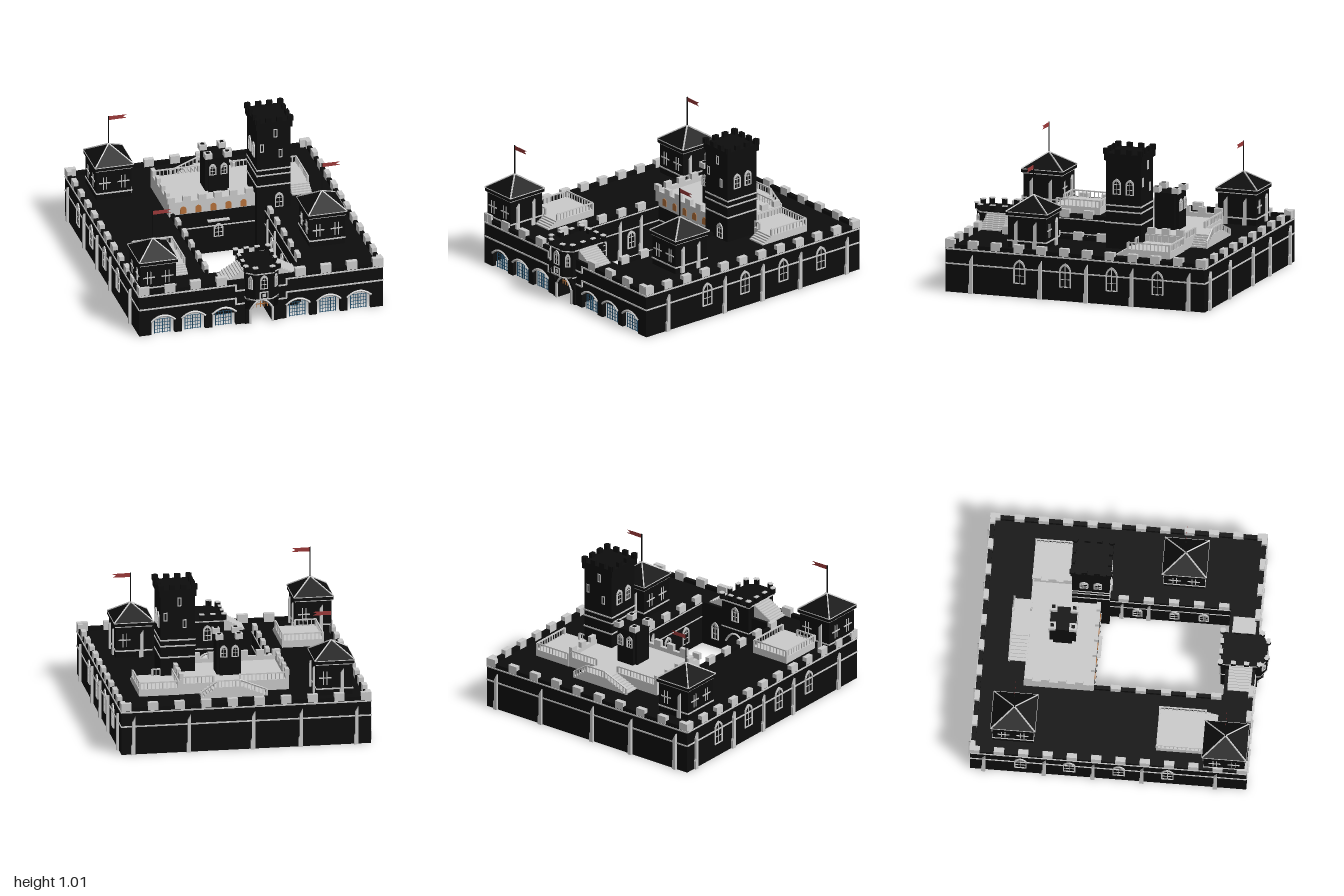
import * as THREE from 'three';

const V = (x, y, z) => new THREE.Vector3(x, y, z);
const mat = (color) => new THREE.MeshStandardMaterial({ color, flatShading: true, side: THREE.DoubleSide });

export function createModel() {
  const root = new THREE.Group();
  const black = mat(0x0d0d0d), grey = mat(0xcccccc), blue = mat(0x24506e), orange = mat(0xb5713a), red = mat(0x9e3a3a);

  // ---- helpers ----
  const add = (name, geo, m, parent = root) => {
    const mesh = new THREE.Mesh(geo, m);
    mesh.name = name;
    parent.add(mesh);
    return mesh;
  };
  const group = (name, x = 0, y = 0, z = 0, ry = 0) => {
    const g = new THREE.Group();
    g.name = name;
    g.position.set(x, y, z);
    g.rotation.y = ry;
    root.add(g);
    return g;
  };
  const box = (name, x0, x1, y0, y1, z0, z1, m, parent = root) => {
    const b = add(name, new THREE.BoxGeometry(x1 - x0, y1 - y0, z1 - z0), m, parent);
    b.position.set((x0 + x1) / 2, (y0 + y1) / 2, (z0 + z1) / 2);
    return b;
  };
  const bar = (name, a, b, t, m, parent = root) => {
    const s = add(name, new THREE.BoxGeometry(t, t, a.distanceTo(b)), m, parent);
    s.position.copy(a).lerp(b, 0.5);
    s.quaternion.setFromUnitVectors(V(0, 0, 1), b.clone().sub(a).normalize());
    return s;
  };
  const extrude = (shape, depth, z) =>
    new THREE.ExtrudeGeometry(shape, { depth, bevelEnabled: false, curveSegments: 8 }).translate(0, 0, z);
  const extrudeUp = (pts, y0, y1) =>
    extrude(new THREE.Shape(pts.map(([x, z]) => new THREE.Vector2(x, -z))), y1 - y0, 0).rotateX(-Math.PI / 2).translate(0, y0, 0);
  // wall whose lower edge is cut by arches [x, width, spring, crown]
  const archedWall = (x0, x1, h, arches) => {
    const s = new THREE.Shape().moveTo(x0, 0);
    for (const [x, w, spring, crown] of arches)
      s.lineTo(x - w / 2, 0).lineTo(x - w / 2, spring)
        .quadraticCurveTo(x, 2 * crown - spring, x + w / 2, spring).lineTo(x + w / 2, 0);
    return s.lineTo(x1, 0).lineTo(x1, h).lineTo(x0, h);
  };
  const archOutline = (w, h, Type) => new Type().moveTo(-w / 2, 0).lineTo(w / 2, 0).lineTo(w / 2, h * 0.65)
    .quadraticCurveTo(w / 2, h * 0.88, 0, h).quadraticCurveTo(-w / 2, h * 0.88, -w / 2, h * 0.65).lineTo(-w / 2, 0);
  const archWindow = (w, h, x, y, z, ry = 0, m = grey) => {
    const g = group('archedWindow', x, y, z, ry), t = 0.008;
    const s = archOutline(w, h, THREE.Shape);
    s.holes.push(archOutline(w - 2 * t, h - 2 * t, THREE.Path).translate?.(0, t) ?? archOutline(w - 2 * t, h - 2 * t, THREE.Path));
    s.holes[0].curves[0].v1.y += 0.001;
    add('windowFrame', extrude(s, 0.008, 0), m, g);
    bar('mullion', V(0, 0, 0.004), V(0, h, 0.004), 0.004, m, g);
    for (const f of [0.03, 0.33, 0.63]) bar('glazingBar', V(-w / 2, h * f, 0.004), V(w / 2, h * f, 0.004), 0.004, m, g);
  };
  const merlons = (x0, z0, x1, z1, n, y0, y1, w, d, m = grey) => {
    const g = group('merlons'), ry = -Math.atan2(z1 - z0, x1 - x0);
    for (let i = 0; i < n; i++) {
      const t = n > 1 ? i / (n - 1) : 0.5;
      const b = add('merlon', new THREE.BoxGeometry(w, y1 - y0, d), m, g);
      b.position.set(x0 + (x1 - x0) * t, (y0 + y1) / 2, z0 + (z1 - z0) * t);
      b.rotation.y = ry;
    }
  };
  const balustrade = (a, b, h = 0.045) => {
    const g = group('balustrade'), up = V(0, h, 0), n = Math.max(2, Math.round(a.distanceTo(b) / 0.028));
    bar('handrail', a.clone().add(up), b.clone().add(up), 0.009, grey, g);
    for (let i = 0; i <= n; i++) {
      const p = a.clone().lerp(b, i / n);
      bar('baluster', p, p.clone().add(up), i % n ? 0.006 : 0.014, grey, g);
    }
  };
  // steps rise from (from) to (to) along one axis, spanning lo..hi on the other
  const stairs = (axis, from, to, lo, hi, y0, y1, n = 8) => {
    const g = group('stairs');
    for (let i = 0; i < n; i++) {
      const p = from + (to - from) * i / n, q = from + (to - from) * (i + 1) / n;
      const a = Math.min(p, q), b = Math.max(p, q), y = y0 + (y1 - y0) * (i + 1) / n;
      if (axis === 'x') box('step', a, b, y0 - 0.01, y, lo, hi, grey, g);
      else box('step', lo, hi, y0 - 0.01, y, a, b, grey, g);
    }
  };
  const buttress = (x, y, z, ry, h = 0.27, w = 0.035) => {
    const g = group('buttress', x, y, z, ry);
    const s = new THREE.Shape([[0, 0], [0.03, 0], [0.03, h * 0.22], [0.022, h * 0.28], [0.022, h * 0.85], [0, h]].map((p) => new THREE.Vector2(...p)));
    add('buttressPier', extrude(s, w, -w / 2).rotateY(-Math.PI / 2), grey, g);
  };

  // ---- outer walls ----
  const X = 0.865, ZB = -0.975, ZF = 0.92, IN = 0.315, IB = -0.17, IF = 0.715, H = 0.335, ROOF = 0.31;
  const archXs = [-0.695, -0.48, -0.262, 0.262, 0.48, 0.695], gate = [0, 0.15, 0.1, 0.165];
  const openings = [...archXs.slice(0, 3).map((x) => [x, 0.165, 0.1, 0.135]), gate, ...archXs.slice(3).map((x) => [x, 0.165, 0.1, 0.135])];
  add('frontWall', extrude(archedWall(-X, X, H, openings), 0.03, ZF - 0.03), black);
  box('backWall', -X, X, 0, H, ZB, ZB + 0.03, black);
  for (const s of [-1, 1]) {
    box('sideWall', s * X - 0.015 - s * 0.015, s * X + 0.015 - s * 0.015, 0, H, ZB, ZF, black);
    box('courtyardSideWall', s * (IN + 0.013) - 0.013, s * (IN + 0.013) + 0.013, 0, H, IB, IF, black);
    for (const y of [0.2, 0.302]) {
      box('sideStringCourse', s * X - 0.005, s * X + 0.005, y - 0.005, y + 0.005, ZB, ZF, grey);
      box('courtyardStringCourse', s * IN - 0.004, s * IN + 0.004, y - 0.004, y + 0.004, IB, IF, grey);
      box('frontStringCourse', s > 0 ? 0.18 : -X, s > 0 ? X : -0.18, y - 0.005, y + 0.005, ZF - 0.005, ZF + 0.006, grey);
      box('stringCourseDrop', s * 0.18 - 0.006, s * 0.18 + 0.006, y - 0.045, y + 0.005, ZF - 0.005, ZF + 0.006, grey);
      box('gateStringCourse', s * 0.148 - 0.035, s * 0.148 + 0.035, y - 0.05, y - 0.04, ZF - 0.005, ZF + 0.006, grey);
    }
    for (const z of [0.72, 0.215, -0.12, -0.455, -0.87]) buttress(s * X, 0, z, s > 0 ? 0 : Math.PI);
    for (const z of [0.38, 0.045, -0.295, -0.63]) archWindow(0.085, 0.17, s * X, 0.095, z, s * Math.PI / 2);
    for (const z of [-0.02, 0.165]) buttress(s * IN, 0, z, s > 0 ? Math.PI : 0, 0.28, 0.025);
    for (const z of [0.075, 0.33, 0.53]) archWindow(0.07, 0.13, s * IN, 0.06, z, -s * Math.PI / 2);
    merlons(s * (X - 0.015), ZB + 0.03, s * (X - 0.015), ZF - 0.03, 12, ROOF, 0.365, 0.07, 0.035);
    merlons(s * (IN + 0.013), -0.02, s * (IN + 0.013), 0.67, 5, ROOF, 0.365, 0.07, 0.03);
    merlons(s * 0.83, ZF - 0.015, s * 0.28, ZF - 0.015, 4, ROOF, 0.37, 0.075, 0.035);
  }
  for (const y of [0.2, 0.302]) box('backStringCourse', -X, X, y - 0.005, y + 0.005, ZB - 0.005, ZB, grey);
  for (const x of [-0.775, -0.39, -0.06, 0.385, 0.77]) buttress(x, 0, ZB, Math.PI / 2, 0.27);
  merlons(-0.83, ZB + 0.015, 0.83, ZB + 0.015, 10, ROOF, 0.365, 0.07, 0.035);
  box('courtyardBackWall', -IN, IN, 0, 0.32, IB - 0.026, IB, black);
  box('courtyardBackStringCourse', -IN, IN, 0.2, 0.208, IB, IB + 0.005, grey);
  add('courtyardFrontWall', extrude(archedWall(-IN, IN, ROOF, [gate]), 0.026, IF), black);
  for (const x of [-0.2, 0.2]) archWindow(0.06, 0.13, x, 0.06, IF, Math.PI);

  // flat roof, left open over the courtyard and beneath the decks
  const roof = new THREE.Shape([[-0.86, -0.91], [0.86, -0.91], [0.86, 0.97], [-0.86, 0.97]].map((p) => new THREE.Vector2(...p)));
  const hole = (pts) => roof.holes.push(new THREE.Path(pts.map(([x, z]) => new THREE.Vector2(x, -z))));
  hole([[-0.34, -0.64], [0.4, -0.64], [0.4, -0.18], [0.32, -0.18], [0.32, 0.72], [-0.32, 0.72], [-0.32, -0.18], [-0.34, -0.18]]);
  hole([[0.42, -0.65], [0.68, -0.65], [0.68, -0.35], [0.42, -0.35]]);
  add('flatRoof', extrude(roof, 0.012, 0).rotateX(-Math.PI / 2).translate(0, ROOF - 0.012, 0), black);

  // front arch trims and window grilles
  const archTrim = (x, w, spring, crown, z, t) => {
    const c = new THREE.QuadraticBezierCurve3(V(x - w / 2, spring, z), V(x, 2 * crown - spring, z), V(x + w / 2, spring, z));
    add('archTrim', new THREE.TubeGeometry(c, 12, t, 4), grey);
  };
  for (const x of archXs) {
    archTrim(x, 0.17, 0.1, 0.14, ZF + 0.003, 0.008);
    const g = group('windowGrille', x, 0, ZF - 0.02);
    for (let i = 0; i <= 6; i++) bar('grilleUpright', V(-0.055 + i * 0.0183, 0, 0), V(-0.055 + i * 0.0183, 0.105, 0), i % 3 ? 0.003 : 0.006, blue, g);
    for (let i = 0; i <= 4; i++) bar('grilleRail', V(-0.055, 0.005 + i * 0.025, 0), V(0.055, 0.005 + i * 0.025, 0), 0.003, blue, g);
  }

  // ---- gatehouse ----
  add('gatePassage', extrude(archedWall(-0.115, 0.115, 0.21, [gate]), 0.25, 0.68), black);
  const plan = [[-0.115, 0.68], [0.115, 0.68], [0.115, 0.95], [0.06, 0.995], [-0.06, 0.995], [-0.115, 0.95]];
  add('gatehouse', extrudeUp(plan, 0.205, 0.415), black);
  const corbel = extrudeUp(plan, 0.18, 0.205), cp = corbel.attributes.position;
  for (let i = 0; i < cp.count; i++) if (cp.getY(i) < 0.19) cp.setZ(i, Math.min(cp.getZ(i), 0.925));
  add('gatehouseCorbel', corbel, black);
  plan.forEach(([x, z], i) => {
    const [u, w] = plan[(i + 1) % 6];
    for (const y of [0.205, 0.4]) bar('gatehouseTrim', V(x, y, z), V(u, y, w), 0.008, grey);
    const n = Math.max(2, Math.round(Math.hypot(u - x, w - z) / 0.065));
    merlons(x, z, u, w, n, 0.41, 0.45, 0.032, 0.02, black);
    merlons(x, z, u, w, n, 0.45, 0.456, 0.036, 0.024);
  });
  for (const s of [-1, 1]) {
    bar('gateBracket', V(s * 0.1, 0.12, 0.92), V(s * 0.1, 0.205, 0.965), 0.025, black);
    box('gateJamb', s * 0.08 - 0.007, s * 0.08 + 0.007, 0, 0.105, 0.925, 0.94, grey);
    archWindow(0.036, 0.1, s * 0.0885, 0.285, 0.973, s * 0.885);
    stairs('x', s * 0.268, s * 0.11, 0.74, 0.9, ROOF, 0.4, 9);
  }
  archTrim(0, 0.16, 0.1, 0.172, 0.933, 0.008);
  archTrim(0, 0.16, 0.1, 0.172, 0.677, 0.008);
  archWindow(0.055, 0.105, 0, 0.285, 0.995);
  archWindow(0.06, 0.11, 0, 0.265, 0.68, Math.PI);
  for (const y of [0.21, 0.26]) box('plaqueFrame', -0.03, 0.03, y - 0.004, y + 0.004, 0.995, 1, grey);
  for (const x of [-0.028, 0.028]) box('plaqueFrame', x - 0.004, x + 0.004, 0.21, 0.26, 0.995, 1, grey);
  box('plaque', -0.012, 0.012, 0.223, 0.247, 0.99, 0.999, grey);
  for (let i = -2; i <= 2; i++) bar('portcullisBar', V(i * 0.025, 0.1, 0.9), V(i * 0.025, 0.16, 0.9), 0.005, orange);
  bar('portcullisRail', V(-0.07, 0.125, 0.9), V(0.07, 0.125, 0.9), 0.005, orange);

  // ---- pavilions with pyramid roofs, poles and pennants ----
  for (const [cx, cz] of [[-0.635, -0.69], [-0.727, 0.767], [0.58, 0.385]]) {
    const g = group('pavilion', cx, 0, cz);
    box('pavilionBody', -0.125, 0.125, 0.3, 0.54, -0.14, 0.14, black, g);
    box('pavilionBand', -0.129, 0.129, 0.352, 0.362, -0.144, 0.144, grey, g);
    box('pavilionEaveTrim', -0.13, 0.13, 0.526, 0.534, -0.145, 0.145, grey, g);
    box('pavilionEave', -0.137, 0.137, 0.534, 0.56, -0.152, 0.152, black, g);
    const r = add('pyramidRoof', new THREE.ConeGeometry(Math.SQRT2, 0.1, 4).rotateY(Math.PI / 4), black, g);
    r.scale.set(0.137, 1, 0.152);
    r.position.y = 0.61;
    for (const sx of [-1, 1]) {
      for (const sz of [-1, 1]) bar('roofHip', V(sx * 0.137, 0.56, sz * 0.152), V(0, 0.662, 0), 0.008, grey, g);
      bar('eaveEdge', V(sx * 0.137, 0.558, -0.152), V(sx * 0.137, 0.558, 0.152), 0.005, grey, g);
      bar('eaveEdge', V(-0.137, 0.558, sx * 0.152), V(0.137, 0.558, sx * 0.152), 0.005, grey, g);
      buttress(cx + 0.125, 0.31, cz + sx * 0.07, 0, 0.19, 0.026);
    }
    buttress(cx - 0.065, 0.31, cz - 0.14, Math.PI / 2, 0.19, 0.026);
    const cross = (x, z, dx, dz) => {
      for (const k of [-0.012, 0.012])
        bar('windowBar', V(x + dx * k, 0.385, z + dz * k), V(x + dx * k, 0.48, z + dz * k), 0.006, grey, g);
      bar('windowCrossbar', V(x - dx * 0.042, 0.435, z - dz * 0.042), V(x + dx * 0.042, 0.435, z + dz * 0.042), 0.008, grey, g);
    };
    for (const s of [-0.065, 0.065]) { cross(s, 0.141, 1, 0); cross(-0.126, s, 0, 1); }
    cross(0.065, -0.141, 1, 0);
    bar('flagPole', V(0, 0.65, 0), V(0, 0.872, 0), 0.006, black, g);
    const f = new THREE.Shape([[0, 0.84], [0.13, 0.842], [0.1, 0.855], [0.13, 0.868], [0, 0.87]].map((p) => new THREE.Vector2(...p)));
    add('pennant', new THREE.ShapeGeometry(f), red, g);
  }

  // ---- tall tower ----
  box('tallTower', 0.258, 0.495, 0, 0.93, -0.368, -0.112, black);
  box('tallTowerParapet', 0.247, 0.506, 0.925, 0.975, -0.379, -0.101, black);
  for (const y of [0.49, 0.57, 0.612]) box('tallTowerBand', 0.254, 0.499, y - 0.005, y + 0.005, -0.372, -0.108, grey);
  for (const x of [0.26, 0.493]) merlons(x, -0.366, x, -0.114, 4, 0.97, 1.008, 0.04, 0.025, black);
  for (const z of [-0.366, -0.114]) merlons(0.26, z, 0.493, z, 4, 0.97, 1.008, 0.04, 0.025, black);
  for (const [x, y] of [[0.388, 0.885], [0.292, 0.78], [0.424, 0.727]])
    for (const [z, o] of [[-0.112, 0], [-0.368, 0.753]]) {
      const c = o ? o - x : x;
      for (const k of [-1, 1]) {
        box('slitJamb', c + k * 0.01 - 0.003, c + k * 0.01 + 0.003, y - 0.03, y + 0.03, z - 0.005, z + 0.005, grey);
        box('slitSill', c - 0.013, c + 0.013, y + k * 0.028 - 0.003, y + k * 0.028 + 0.003, z - 0.005, z + 0.005, grey);
      }
    }
  for (const z of [-0.192, -0.288]) { archWindow(0.06, 0.11, 0.495, 0.69, z, Math.PI / 2); archWindow(0.06, 0.11, 0.258, 0.69, z, -Math.PI / 2); }
  archWindow(0.06, 0.11, 0.414, 0.32, -0.112);

  // ---- terrace with arcaded front, parapets and double stair ----
  const T = 0.385;
  box('terrace', -0.35, 0.41, ROOF - 0.005, T, -0.65, IB, grey);
  box('terraceFrontParapet', -0.35, 0.258, T, 0.415, IB - 0.025, IB, grey);
  box('terraceLeftParapet', -0.35, -0.325, T, 0.415, -0.65, IB, grey);
  box('terraceRightParapet', 0.385, 0.41, T, 0.415, -0.65, -0.37, grey);
  merlons(-0.335, IB - 0.012, 0.22, IB - 0.012, 6, 0.41, 0.455, 0.055, 0.028);
  merlons(-0.337, -0.62, -0.337, -0.27, 4, 0.41, 0.455, 0.055, 0.028);
  merlons(0.397, -0.62, 0.397, -0.41, 3, 0.41, 0.455, 0.055, 0.028);
  for (let i = 0; i < 5; i++) {
    const g = group('arcadeArch', -0.25 + i * 0.107, 0.325, IB);
    add('arcadePanel', extrude(archOutline(0.042, 0.055, THREE.Shape), 0.004, 0), orange, g);
  }
  box('balcony', -0.08, 0.075, 0.245, 0.255, IB, IB + 0.025, grey);
  archWindow(0.07, 0.1, 0, 0.12, IB);
  box('stairLanding', 0.01, 0.165, ROOF, T, -0.77, -0.65, grey);
  stairs('x', -0.175, 0.01, -0.77, -0.65, ROOF, T, 8);
  stairs('x', 0.275, 0.165, -0.77, -0.65, ROOF, T, 6);
  for (const [a, b] of [[V(0.01, T, -0.765), V(0.165, T, -0.765)], [V(-0.175, ROOF, -0.765), V(0.01, T, -0.765)], [V(0.275, ROOF, -0.765), V(0.165, T, -0.765)],
    [V(-0.34, T, -0.643), V(-0.01, T, -0.643)], [V(0.175, T, -0.643), V(0.39, T, -0.643)]]) balustrade(a, b);

  // cross-shaped turret on the terrace
  box('turret', -0.027, 0.107, T, 0.64, -0.5, -0.32, black);
  box('turretCross', -0.045, 0.125, T, 0.64, -0.475, -0.345, black);
  for (const x of [-0.028, 0.108]) for (const z of [-0.482, -0.338]) {
    box('turretCornerMerlon', x - 0.026, x + 0.026, 0.64, 0.678, z - 0.026, z + 0.026, grey);
    box('turretCornerCap', x - 0.012, x + 0.012, 0.62, 0.681, z - 0.012, z + 0.012, black);
  }
  for (const x of [0, 0.08]) { archWindow(0.05, 0.085, x, 0.515, -0.32); archWindow(0.05, 0.085, x, 0.515, -0.5, Math.PI); }

  // ---- small railed decks with steps toward the front ----
  for (const [x0, x1, z0, z1] of [[0.41, 0.69, -0.655, -0.345], [-0.745, -0.455, 0.29, 0.61]]) {
    const y = 0.36, m = x1 - 0.14;
    box('deck', x0, x1, ROOF - 0.005, y, z0, z1, grey);
    stairs('z', z1 + 0.085, z1, m, x1, ROOF, y, 5);
    balustrade(V(x0 + 0.006, y, z0 + 0.006), V(x1 - 0.006, y, z0 + 0.006));
    balustrade(V(x1 - 0.006, y, z0 + 0.006), V(x1 - 0.006, y, z1));
    balustrade(V(x0 + 0.006, y, z0 + 0.006), V(x0 + 0.006, y, z1));
    balustrade(V(x0 + 0.006, y, z1 - 0.006), V(m, y, z1 - 0.006));
  }
  return root;
}
